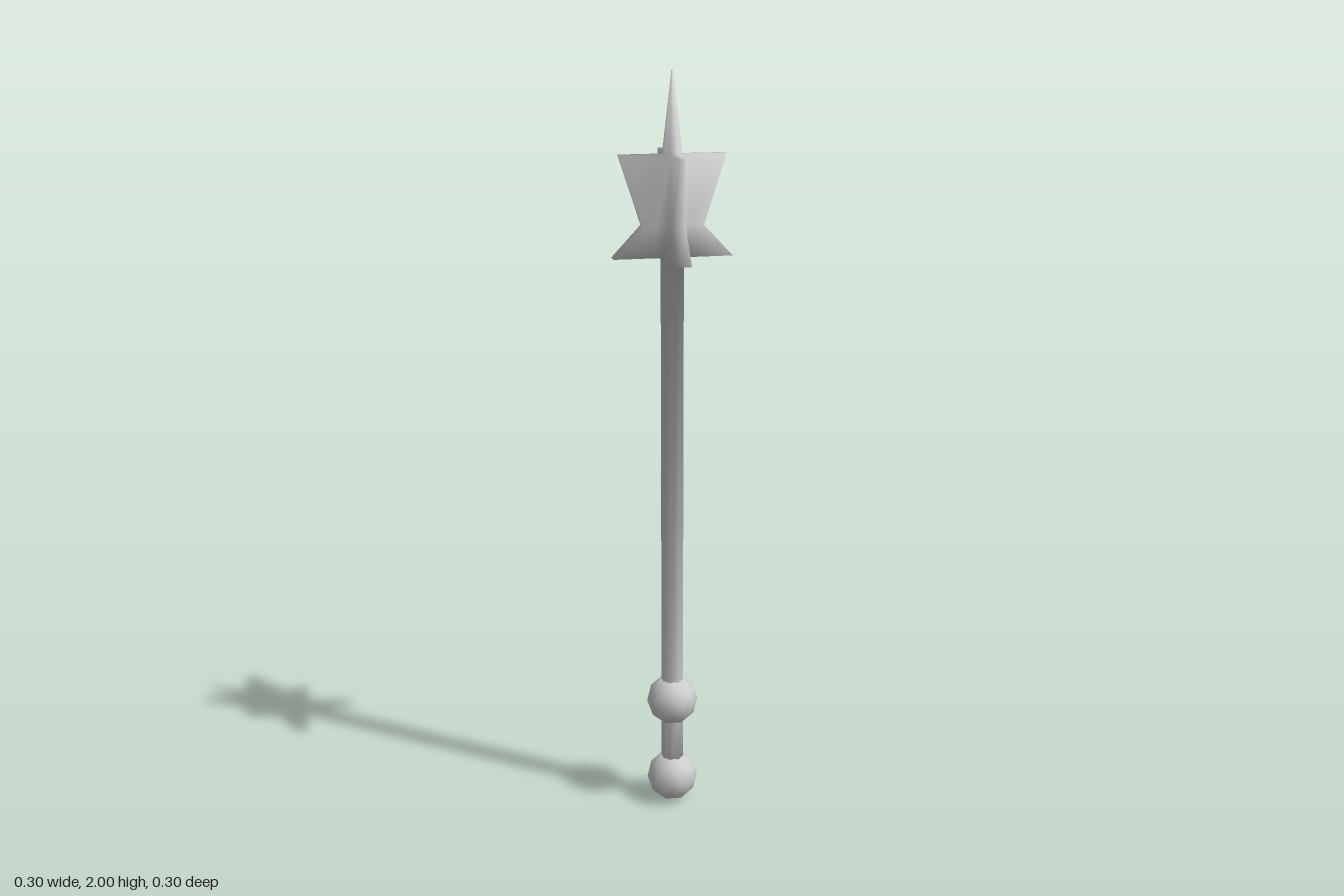
import * as THREE from 'three';

const material = new THREE.MeshStandardMaterial({ color: 0xcccccc });

function addPart(group, name, geometry) {
  const mesh = new THREE.Mesh(geometry, material);
  mesh.name = name;
  group.add(mesh);
  return mesh;
}

// Smooth normals weighted by corner angle, so long faces do not dominate short ones
function smoothGeometry(points, index) {
  const normals = points.map(() => new THREE.Vector3());
  for (let i = 0; i < index.length; i += 3) {
    const ids = index.slice(i, i + 3);
    const [a, b, c] = ids.map((id) => points[id]);
    const face = b.clone().sub(a).cross(c.clone().sub(a)).normalize();
    ids.forEach((id, j) => {
      const next = points[ids[(j + 1) % 3]].clone().sub(points[id]);
      const last = points[ids[(j + 2) % 3]].clone().sub(points[id]);
      normals[id].addScaledVector(face, next.angleTo(last));
    });
  }
  normals.forEach((n) => n.normalize());
  const geometry = new THREE.BufferGeometry().setFromPoints(points);
  geometry.setAttribute('normal', new THREE.Float32BufferAttribute(normals.flatMap((n) => n.toArray()), 3));
  geometry.setIndex(index);
  return geometry;
}

// Octagonal rod, hub and spike in one skin, with flanges drawn out of alternate hub faces
function shaftAndHeadGeometry() {
  const rings = [
    { y: 0.07, r: 0.03 },
    { y: 0.31, r: 0.03 },
    { y: 1.54, r: 0.03 },
    { y: 1.54, r: 0.044, reach: 0.154 },
    { y: 1.62, r: 0.048, reach: 0.078 },
    { y: 1.797, r: 0.026, reach: 0.137 },
    { y: 2, r: 0.002 },
  ];
  const points = [];
  const index = [];
  const add = (x, y, z) => points.push(new THREE.Vector3(x, y, z)) - 1;
  const quad = (a, b, c, d) => index.push(a, b, c, a, c, d);

  // Ring corners, and the two outer corners of each flange
  const step = Math.PI / 4;
  const corners = rings.map(({ y, r }) => Array.from({ length: 8 },
    (_, k) => add(r * Math.cos(k * step), y, -r * Math.sin(k * step))));
  const outer = rings.map(({ y, r, reach }) => Array.from({ length: reach ? 8 : 0 }, (_, k) => {
    if (k % 2) return null;
    const mid = (k + 0.5) * step;
    const half = r * Math.sin(step / 2);
    return [-half, half].map((t) => add(
      reach * Math.cos(mid) - t * Math.sin(mid), y, -reach * Math.sin(mid) - t * Math.cos(mid)));
  }));

  for (let k = 0; k < 8; k++) {
    const n = (k + 1) % 8;
    // Outline across one octagon face, going around the flange where there is one
    const path = (i, around) => [corners[i][k], ...(around ? outer[i][k] : []), corners[i][n]];
    for (let i = 0; i + 1 < rings.length; i++) {
      const around = k % 2 === 0 && rings[i].reach && rings[i + 1].reach;
      const low = path(i, around);
      const high = path(i + 1, around);
      for (let j = 0; j + 1 < low.length; j++) quad(low[j], low[j + 1], high[j + 1], high[j]);
    }
    // Flange underside and top
    if (k % 2 === 0) {
      const [a, b, c, d] = path(3, true);
      quad(d, c, b, a);
      const [e, f, g, h] = path(5, true);
      quad(f, g, h, e);
    }
  }

  // End caps
  const base = add(0, rings[0].y, 0);
  const tip = add(0, 2, 0);
  for (let k = 0; k < 8; k++) {
    const n = (k + 1) % 8;
    index.push(base, corners[0][n], corners[0][k], tip, corners[6][k], corners[6][n]);
  }
  return smoothGeometry(points, index);
}

export function createModel() {
  const group = new THREE.Group();
  group.name = 'mace';

  addPart(group, 'shaftAndFlangedHead', shaftAndHeadGeometry());

  // Round pommel and grip guard, balls with a pole pointing up
  const ball = new THREE.IcosahedronGeometry(0.07, 1);
  ball.rotateX(-Math.atan((1 + Math.sqrt(5)) / 2)).rotateY(Math.PI / 2);
  addPart(group, 'pommel', ball).position.y = 0.07;
  addPart(group, 'gripGuard', ball).position.y = 0.305;
  return group;
}
